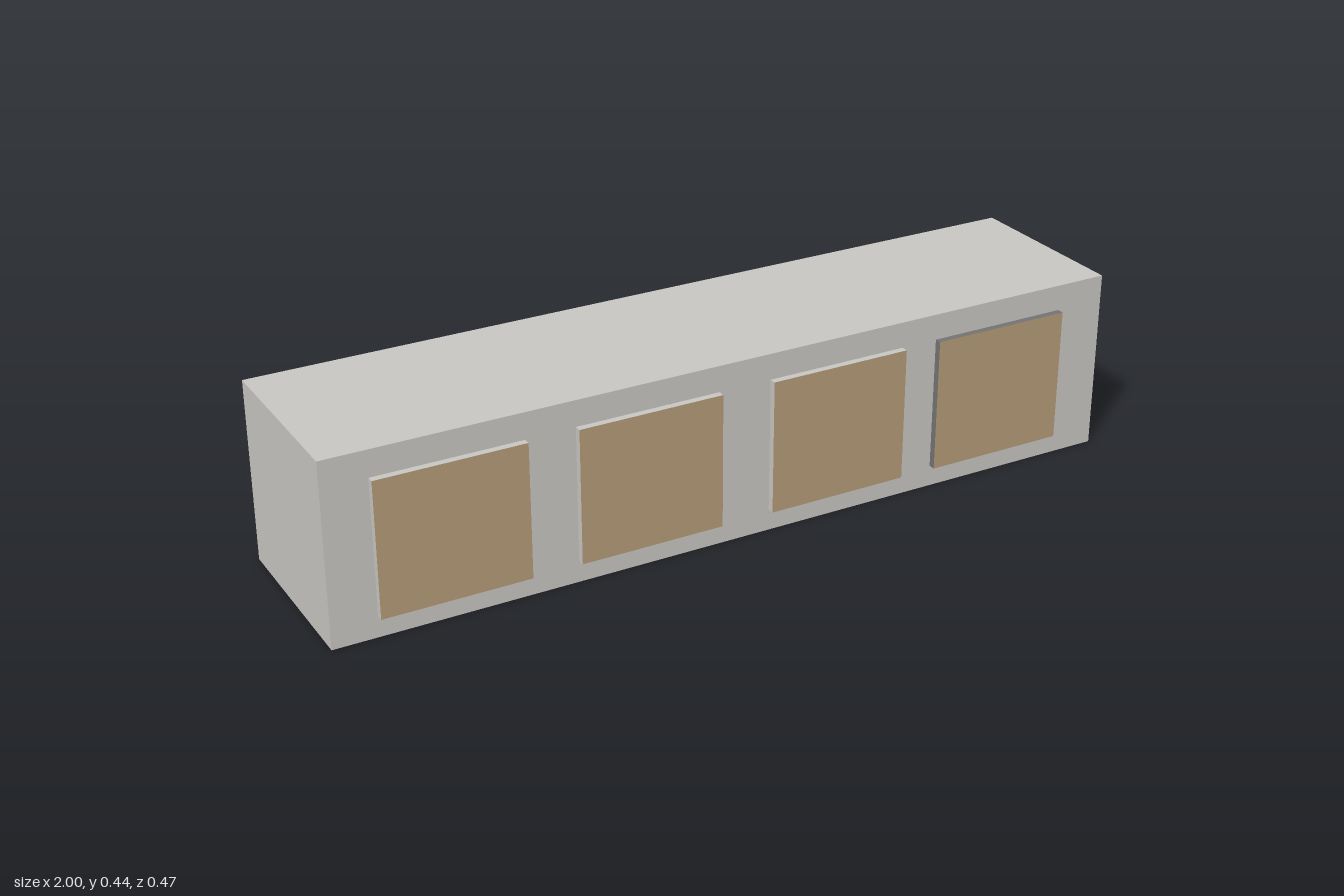
import * as THREE from 'three';

export function createModel() {
  const model = new THREE.Group();
  const paint = (name, color) => {
    const m = new THREE.MeshStandardMaterial({ color });
    m.name = name;
    return m;
  };
  const shell = paint('pale grey', 0xc8c6c1);
  const wood = paint('tan wood', 0xb59b77);
  const dark = paint('dark grey', 0x737373);

  // Box spanning two corners
  const addBox = (name, [x0, y0, z0], [x1, y1, z1], material) => {
    const mesh = new THREE.Mesh(new THREE.BoxGeometry(x1 - x0, y1 - y0, z1 - z0), material);
    mesh.position.set((x0 + x1) / 2, (y0 + y1) / 2, (z0 + z1) / 2);
    mesh.name = name;
    model.add(mesh);
  };

  // Long cabinet body
  addBox('cabinetBody', [-1, 0, -0.233], [1, 0.445, 0.213], shell);

  // Four door panels: tan front, edges in the given colour
  const doors = [
    { x: -0.893, front: 0.233, edge: shell },
    { x: -0.417, front: 0.231, edge: shell },
    { x: 0.07, front: 0.231, edge: shell },
    { x: 0.518, front: 0.231, edge: dark },
  ];
  doors.forEach(({ x, front, edge }, i) => {
    addBox(`doorPanel${i + 1}`, [x, 0.053, front - 0.017], [x + 0.355, 0.382, front],
      [edge, edge, edge, edge, wood, edge]);
  });

  return model;
}
